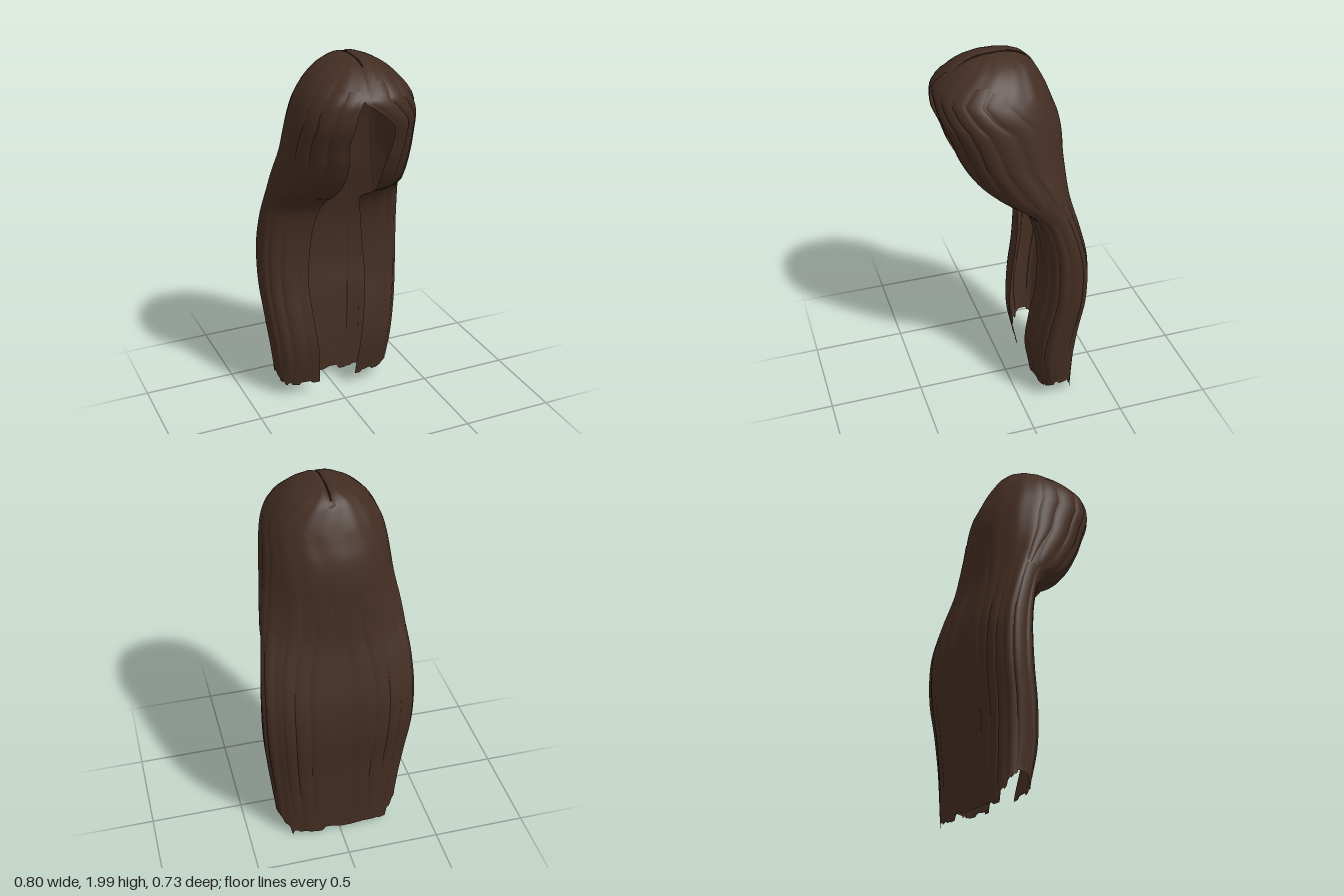
import * as THREE from 'three';

// Cross-sections: height, half width, back z, widest z, front z, half of the front gap, squareness
const SECTIONS = [
  [2.0, 0.0, 0.03, 0.035, 0.04, 0, 2.0],
  [1.985, 0.08, -0.06, 0.05, 0.165, 0, 2.1],
  [1.95, 0.155, -0.115, 0.06, 0.24, 0, 2.2],
  [1.9, 0.214, -0.15, 0.075, 0.305, 0, 2.3],
  [1.84, 0.26, -0.182, 0.085, 0.355, 0, 2.4],
  [1.78, 0.288, -0.208, 0.08, 0.366, 0.055, 2.4],
  [1.7, 0.306, -0.24, 0.06, 0.36, 0.105, 2.4],
  [1.6, 0.319, -0.262, 0.025, 0.32, 0.115, 2.35],
  [1.5, 0.331, -0.268, -0.02, 0.282, 0.1, 2.3],
  [1.37, 0.354, -0.272, -0.1, 0.208, 0.1, 2.25],
  [1.28, 0.368, -0.278, -0.145, 0.115, 0.115, 2.3],
  [1.21, 0.376, -0.29, -0.18, -0.015, 0.1, 2.5],
  [1.1, 0.388, -0.318, -0.215, -0.085, 0.125, 2.8],
  [0.92, 0.396, -0.358, -0.25, -0.115, 0.15, 3.0],
  [0.7, 0.392, -0.363, -0.245, -0.105, 0.165, 3.0],
  [0.5, 0.374, -0.338, -0.215, -0.075, 0.15, 3.0],
  [0.3, 0.352, -0.325, -0.2, -0.065, 0.125, 3.0],
  [0.1, 0.334, -0.315, -0.21, -0.1, 0.11, 3.0],
  [0.0, 0.33, -0.312, -0.21, -0.11, 0.11, 3.0],
];
const depthKey = y => Math.sqrt(Math.max(0, 2 - y));
const KEYS = SECTIONS.map(s => depthKey(s[0]));

// Smooth lookup of one section column at a height
function at(y, col) {
  const p = depthKey(y), last = KEYS.length - 1;
  let i = 0;
  while (i < last - 1 && p > KEYS[i + 1]) i++;
  const val = k => SECTIONS[k][col];
  const slope = k => {
    const a = Math.max(0, k - 1), b = Math.min(last, k + 1);
    return (val(b) - val(a)) / (KEYS[b] - KEYS[a]);
  };
  const h = KEYS[i + 1] - KEYS[i], t = Math.min(1, (p - KEYS[i]) / h), t2 = t * t, t3 = t2 * t;
  return (2 * t3 - 3 * t2 + 1) * val(i) + (t3 - 2 * t2 + t) * h * slope(i)
    + (3 * t2 - 2 * t3) * val(i + 1) + (t3 - t2) * h * slope(i + 1);
}

const spow = (v, e) => Math.sign(v) * Math.pow(Math.abs(v), e);

// Point on the hair: u runs from the model's left edge of the gap, round the back, to the right edge
function hairPoint(u, y, off = 0) {
  const w = Math.max(0, at(y, 1)), zm = at(y, 3), n = at(y, 6);
  const g = Math.max(0, at(y, 5));
  const skew = -0.06 * Math.max(0, 1 - Math.abs(y - 1.83) / 0.12);
  const edge = x => w < 0.01 ? 0 : Math.asin(spow(THREE.MathUtils.clamp(x / w, -0.9, 0.9), n / 2));
  const a = edge(skew + g), b = edge(skew - g) + Math.PI * 2;
  const th = a + (b - a) * u, c = Math.cos(th);
  const x = (w + off) * spow(Math.sin(th), 2 / n);
  const depth = c > 0 ? at(y, 4) - zm : zm - at(y, 2);
  const z = zm + (depth + off) * spow(c, 2 / n);
  // shallow groove along the parting
  const groove = y > 1.85 && z > -0.12 ? 0.009 * Math.exp(-((x / 0.016) ** 2)) : 0;
  return [x, y - groove, z];
}

function seeded(seed) {
  return () => (seed = (seed * 16807) % 2147483647) / 2147483647;
}

// Grid surface from a rule f(column, row), both from 0 to 1
function sheet(cols, rows, f) {
  const pos = [], idx = [];
  for (let r = 0; r <= rows; r++)
    for (let c = 0; c <= cols; c++) pos.push(...f(c / cols, r / rows));
  for (let r = 0; r < rows; r++)
    for (let c = 0; c < cols; c++) {
      const a = r * (cols + 1) + c, d = a + cols + 1;
      idx.push(a, a + 1, d, a + 1, d + 1, d);
    }
  const geo = new THREE.BufferGeometry();
  geo.setAttribute('position', new THREE.Float32BufferAttribute(pos, 3));
  geo.setIndex(idx);
  geo.computeVertexNormals();
  return geo;
}

export function createModel() {
  const group = new THREE.Group();
  const brown = new THREE.MeshStandardMaterial({ color: 0x432d22, side: THREE.DoubleSide });
  brown.name = 'dark brown hair';
  const shade = new THREE.MeshStandardMaterial({ color: 0x2a1b14, side: THREE.DoubleSide });
  shade.name = 'parting brown';
  const add = (geo, mat, name) => {
    const mesh = new THREE.Mesh(geo, mat);
    mesh.name = name;
    group.add(mesh);
  };
  const rand = seeded(71);

  // Ragged hem: rises along the sides, then slopes down into the longer back panel
  const nicks = Array.from({ length: 48 }, () => rand() * rand());
  const step = THREE.MathUtils.smoothstep;
  const sideHem = u => {
    const d = 0.5 - Math.abs(u - 0.5);
    return 0.08 + 0.055 * step(d, 0.12, 0.25) - 0.09 * step(d, 0.26, 0.37);
  };
  const hem = u => {
    const back = Math.abs(u - 0.5) < 0.14;
    return (back ? 0.005 : sideHem(u)) + nicks[Math.min(47, Math.floor(u * 48))] * 0.04;
  };

  // Main fall: crown, fringe sweeps and long body in one skin
  add(sheet(144, 110, (u, v) => {
    const y = Math.max(hem(u), 2 - 2 * v * v);
    return hairPoint(u, y, -0.003 + 0.0015 * Math.sin(u * 90));
  }), brown, 'hairFall');

  // Raised lock lying on the main fall, narrowing to a ragged tip
  const lock = (u, width, top, bottom, name) => {
    const tips = Array.from({ length: 7 }, rand);
    add(sheet(6, 36, (a, v) => {
      const taper = 1 - 0.35 * v ** 4;
      const low = bottom + tips[Math.round(a * 6)] * 0.04;
      const y = top + (low - top) * v;
      const lift = -0.005 + 0.01 * Math.sin(Math.PI * a) ** 0.6 * Math.sin(Math.PI * (0.04 + 0.94 * v)) ** 0.4;
      const uu = THREE.MathUtils.clamp(u + (a - 0.5) * width * taper, 0, 1);
      return hairPoint(uu, y, lift);
    }), brown, name);
  };

  for (const side of [0, 1]) {
    const m = u => side ? 1 - u : u;
    const label = side ? 'right' : 'left';
    // Fringe locks framing the face
    for (let i = 0; i < 5; i++)
      lock(m(0.035 + i * 0.055), 0.06, 1.93 - rand() * 0.06, 1.22 + rand() * 0.05, label + 'FringeLock');
    // Long side locks
    for (let i = 0; i < 5; i++) {
      const u = 0.06 + i * 0.06;
      lock(m(u), 0.065, 1.2 + rand() * 0.2, sideHem(u) + rand() * 0.03, label + 'SideLock');
    }
    // Long back locks
    for (let i = 0; i < 3; i++)
      lock(m(0.39 + i * 0.04), 0.05, 1.7 - rand() * 0.5, 0.03 + rand() * 0.1, label + 'BackLock');
  }

  // Dark line along the centre parting
  const path = [];
  for (const y of [1.97, 1.985, 1.993]) path.push(new THREE.Vector3(0, y - 0.009, at(y, 4)));
  for (const y of [1.998, 1.985, 1.965]) path.push(new THREE.Vector3(0, y - 0.009, at(y, 2)));
  add(new THREE.TubeGeometry(new THREE.CatmullRomCurve3(path), 30, 0.004, 6), shade, 'centreParting');

  return group;
}
